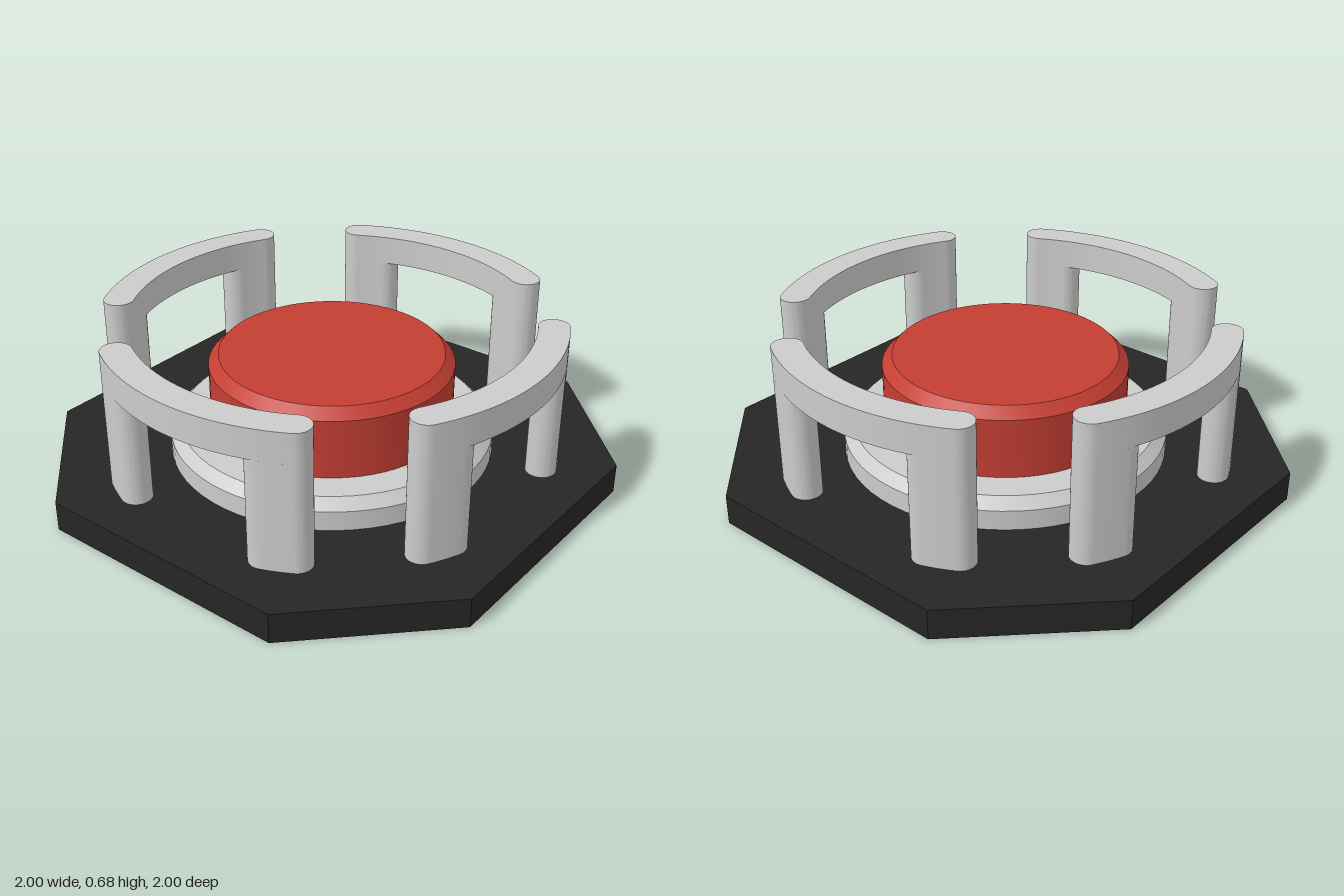
import * as THREE from 'three';
import { toCreasedNormals } from 'three/addons/utils/BufferGeometryUtils.js';

const PLATE_TOP = 0.12;
const deg = THREE.MathUtils.degToRad;

function makeMesh(name, geometry, material) {
  const mesh = new THREE.Mesh(toCreasedNormals(geometry, 0.5), material);
  mesh.name = name;
  return mesh;
}

// Extrude an outline upwards from y0 to y1
function slab(shape, y0, y1) {
  const geometry = new THREE.ExtrudeGeometry(shape, { depth: y1 - y0, bevelEnabled: false, curveSegments: 20 });
  return geometry.rotateX(-Math.PI / 2).translate(0, y0, 0);
}

// Solid disc with a chamfered top edge
function chamferedDisc(radius, y0, y1, chamfer) {
  const profile = [[0, y0], [radius, y0], [radius, y1 - chamfer], [radius - chamfer, y1], [0, y1]];
  return new THREE.LatheGeometry(profile.map(([x, y]) => new THREE.Vector2(x, y)), 64);
}

// Curved slot outline between two angles, with round ends
function arcSlot(fromDeg, toDeg, radius = 0.84, half = 0.06) {
  const a = deg(fromDeg), b = deg(toDeg);
  const shape = new THREE.Shape();
  shape.absarc(0, 0, radius + half, a, b, false);
  shape.absarc(radius * Math.cos(b), radius * Math.sin(b), half, b, b + Math.PI, false);
  shape.absarc(0, 0, radius - half, b, a, true);
  shape.absarc(radius * Math.cos(a), radius * Math.sin(a), half, a + Math.PI, a + 2 * Math.PI, false);
  return shape;
}

export function createModel() {
  const model = new THREE.Group();
  model.name = 'guardedPushButton';
  const grey = new THREE.MeshStandardMaterial({ color: 0xcccccc });
  const black = new THREE.MeshStandardMaterial({ color: 0x262626 });
  const red = new THREE.MeshStandardMaterial({ color: 0xc43e33 });

  // Square base plate with cut corners
  const c = 0.52;
  const outline = [[1, -c], [1, c], [c, 1], [-c, 1], [-1, c], [-1, -c], [-c, -1], [c, -1]];
  const octagon = new THREE.Shape(outline.map(([x, y]) => new THREE.Vector2(x, y)));
  model.add(makeMesh('basePlate', slab(octagon, 0, PLATE_TOP), black));

  // Collar and button
  model.add(makeMesh('collar', chamferedDisc(0.64, PLATE_TOP, 0.24, 0.04), grey));
  model.add(makeMesh('button', chamferedDisc(0.48, 0.2, 0.52, 0.04), red));

  // Four curved guards, each a rail on two posts
  for (let i = 0; i < 4; i++) {
    const guard = new THREE.Group();
    guard.name = `guard${i + 1}`;
    guard.add(makeMesh('guardRail', slab(arcSlot(-30, 30), 0.56, 0.68), grey));
    guard.add(makeMesh('guardPostA', slab(arcSlot(22, 30), PLATE_TOP, 0.56), grey));
    guard.add(makeMesh('guardPostB', slab(arcSlot(-30, -22), PLATE_TOP, 0.56), grey));
    guard.rotation.y = (i * Math.PI) / 2;
    model.add(guard);
  }
  return model;
}
